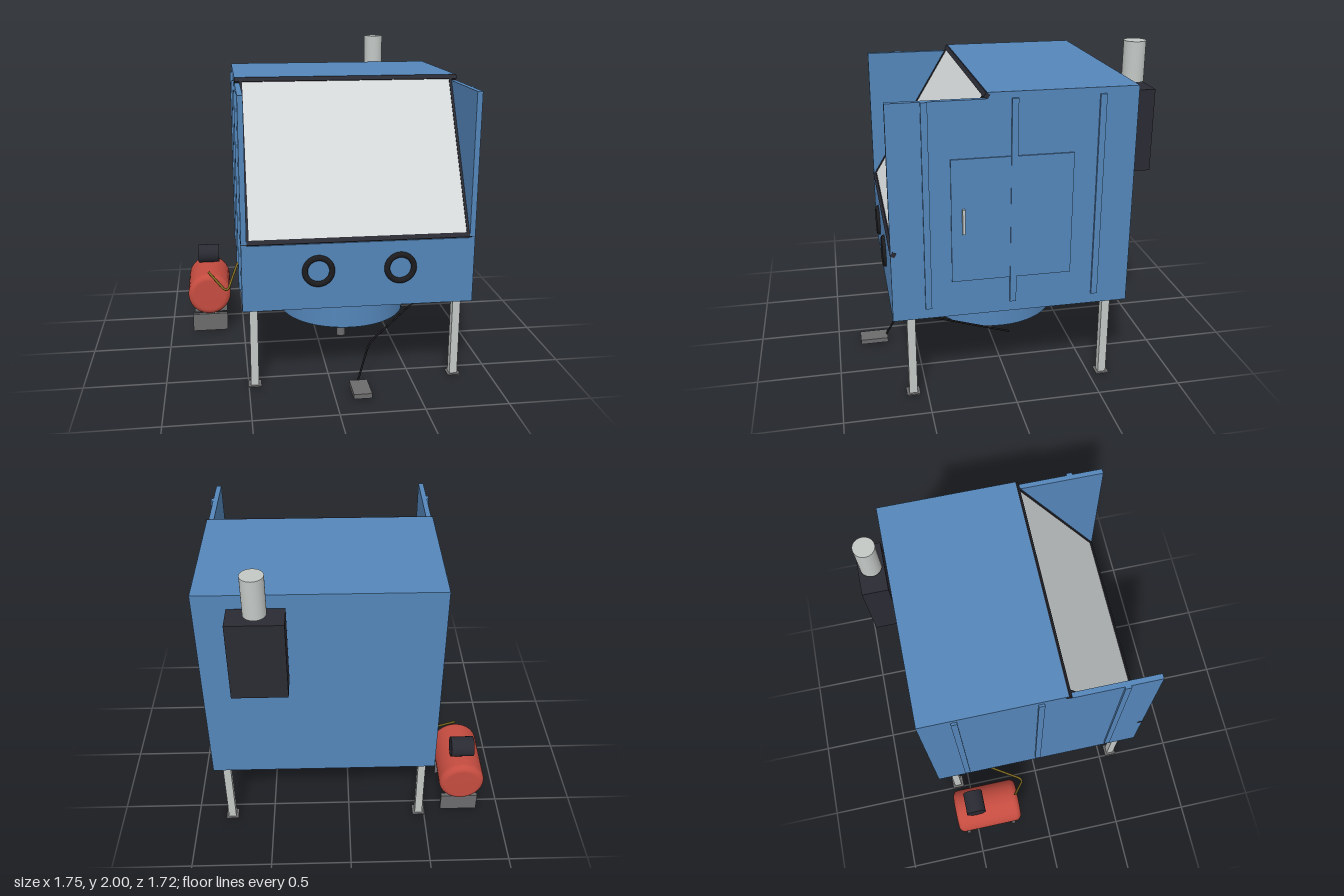
import * as THREE from 'three';

const mat = (name, color, extra = {}) => {
  const m = new THREE.MeshStandardMaterial({ color, ...extra });
  m.name = name;
  return m;
};

export function createModel() {
  const blue = mat('blue paint', 0x5486ba);
  const dark = mat('dark charcoal', 0x2a2a33);
  const black = mat('black rubber', 0x1c1c1f);
  const steel = mat('light steel', 0xc3c8c5);
  const glass = mat('pale window', 0xd8dcdc);
  const red = mat('red paint', 0xc54c40);
  const grey = mat('grey metal', 0x6b6b6d);
  const olive = mat('olive hose', 0x7d6a22);

  const model = new THREE.Group();
  model.name = 'blastCabinet';

  const add = (name, geo, material, x = 0, y = 0, z = 0) => {
    const mesh = new THREE.Mesh(geo, material);
    mesh.name = name;
    mesh.position.set(x, y, z);
    model.add(mesh);
    return mesh;
  };
  // Box given by its limits on each axis
  const box = (name, material, x0, x1, y0, y1, z0, z1) =>
    add(name, new THREE.BoxGeometry(x1 - x0, y1 - y0, z1 - z0), material,
      (x0 + x1) / 2, (y0 + y1) / 2, (z0 + z1) / 2);
  const cylinder = (name, material, rTop, rBottom, y0, y1, x, z) =>
    add(name, new THREE.CylinderGeometry(rTop, rBottom, y1 - y0, 48), material, x, (y0 + y1) / 2, z);
  // Straight runs joined by rounded bends
  const pipe = (name, material, radius, points, bend) => {
    const p = points.map((a) => new THREE.Vector3(...a));
    const path = new THREE.CurvePath();
    let from = p[0];
    for (let i = 1; i < p.length - 1; i++) {
      const a = p[i].clone().add(p[i - 1].clone().sub(p[i]).setLength(bend));
      const b = p[i].clone().add(p[i + 1].clone().sub(p[i]).setLength(bend));
      path.add(new THREE.LineCurve3(from, a));
      path.add(new THREE.QuadraticBezierCurve3(a, p[i], b));
      from = b;
    }
    path.add(new THREE.LineCurve3(from, p[p.length - 1]));
    return add(name, new THREE.TubeGeometry(path, 60, radius, 10), material);
  };

  const L = -0.53, R = 0.845, F = 0.688, CX = (L + R) / 2;

  // Cabinet shell
  box('basePlate', blue, L, R, 0.525, 0.59, -F, F);
  box('rightWall', blue, L, L + 0.032, 0.59, 1.785, -F, F);
  box('leftWall', blue, R - 0.032, R, 0.59, 1.785, -F, F);
  box('backWall', blue, L + 0.032, R - 0.032, 0.59, 1.785, -F, -F + 0.03);
  box('frontPanel', blue, L + 0.032, R - 0.032, 0.59, 0.925, F - 0.03, F);
  box('roof', blue, L, R, 1.785, 1.82, -F, 0.15);

  // Vertical ribs on both side walls
  for (const z of [-0.485, 0, 0.485]) {
    box('rightRib', blue, L - 0.013, L, 0.59, 1.785, z - 0.018, z + 0.018);
    box('leftRib', blue, R, R + 0.014, 0.59, 1.785, z - 0.018, z + 0.018);
  }

  // Side door with its handle
  box('door', blue, R, R + 0.009, 0.745, 1.465, -0.335, 0.35);
  box('doorHandle', steel, R + 0.009, R + 0.028, 1.035, 1.18, 0.275, 0.29);

  // Sloping window with frame
  const low = new THREE.Vector2(0.672, 0.937), high = new THREE.Vector2(0.152, 1.802);
  const slope = high.clone().sub(low);
  const tilt = Math.atan2(slope.x, slope.y);
  const mid = low.clone().add(high).multiplyScalar(0.5);
  const slanted = (name, material, w, h, d, x, c) => {
    const m = add(name, new THREE.BoxGeometry(w, h, d), material, x, c.y, c.x);
    m.rotation.x = tilt;
    return m;
  };
  slanted('window', glass, 1.30, slope.length(), 0.012, CX, mid);
  slanted('windowTopBar', dark, R - L + 0.003, 0.028, 0.026, CX, high);
  slanted('windowBottomBar', dark, R - L + 0.003, 0.028, 0.026, CX, low);
  for (const s of [-1, 1])
    slanted('windowSideTrim', dark, 0.018, slope.length(), 0.024, CX + s * 0.65, mid);

  // Glove port rings
  for (const x of [-0.085, 0.4])
    add('gloveRing', new THREE.TorusGeometry(0.08, 0.017, 16, 48), black, x, 0.76, 0.692);

  // Hopper under the cabinet
  cylinder('hopperDrum', blue, 0.41, 0.41, 0.265, 0.525, CX, 0);
  cylinder('hopperCone', blue, 0.41, 0.07, 0.105, 0.265, CX, 0);
  cylinder('hopperOutlet', grey, 0.03, 0.03, 0.03, 0.105, CX, 0);

  // Legs and foot plates
  for (const x of [-0.463, 0.777]) for (const z of [-0.583, 0.583]) {
    box('leg', steel, x - 0.024, x + 0.024, 0.008, 0.525, z - 0.024, z + 0.024);
    box('footPlate', grey, x - 0.04, x + 0.04, 0, 0.008, z - 0.04, z + 0.04);
  }

  // Foot pedal and cable
  box('footPedal', grey, 0.103, 0.213, 0.013, 0.043, 0.685, 0.86);
  pipe('pedalCable', black, 0.006,
    [[0.157, 0.043, 0.69], [0.237, 0.245, 0.605], [0.777, 0.345, 0]], 0.05);

  // Rear dust collector and exhaust pipe
  box('dustCollector', dark, 0.342, 0.658, 1.26, 1.745, -0.86, -0.705);
  cylinder('exhaustPipe', steel, 0.064, 0.064, 1.765, 2, 0.5, -0.78);

  // Compressor tank with rounded ends
  const r = 0.145, half = 0.22, e = 0.04;
  const profile = [new THREE.Vector2(0, -half)];
  for (const s of [-1, 1]) for (let i = 0; i <= 8; i++) {
    const a = (s < 0 ? i - 8 : i) * Math.PI / 16;
    profile.push(new THREE.Vector2(r - e + e * Math.cos(a), s * (half - e) + e * Math.sin(a)));
  }
  profile.push(new THREE.Vector2(0, half));
  add('compressorTank', new THREE.LatheGeometry(profile, 48), red, -0.732, 0.285, -0.403)
    .rotation.x = Math.PI / 2;

  // Compressor motor, stands and hose
  add('compressorMotor', new THREE.CylinderGeometry(0.064, 0.064, 0.146, 40), dark, -0.732, 0.49, -0.483)
    .rotation.z = Math.PI / 2;
  for (const z of [-0.238, -0.568])
    box('compressorStand', grey, -0.852, -0.612, 0.006, 0.13, z - 0.013, z + 0.013);
  pipe('airHose', olive, 0.008,
    [[-0.735, 0.45, -0.203], [-0.612, 0.325, -0.118], [-0.515, 0.505, -0.335]], 0.05);

  return model;
}
